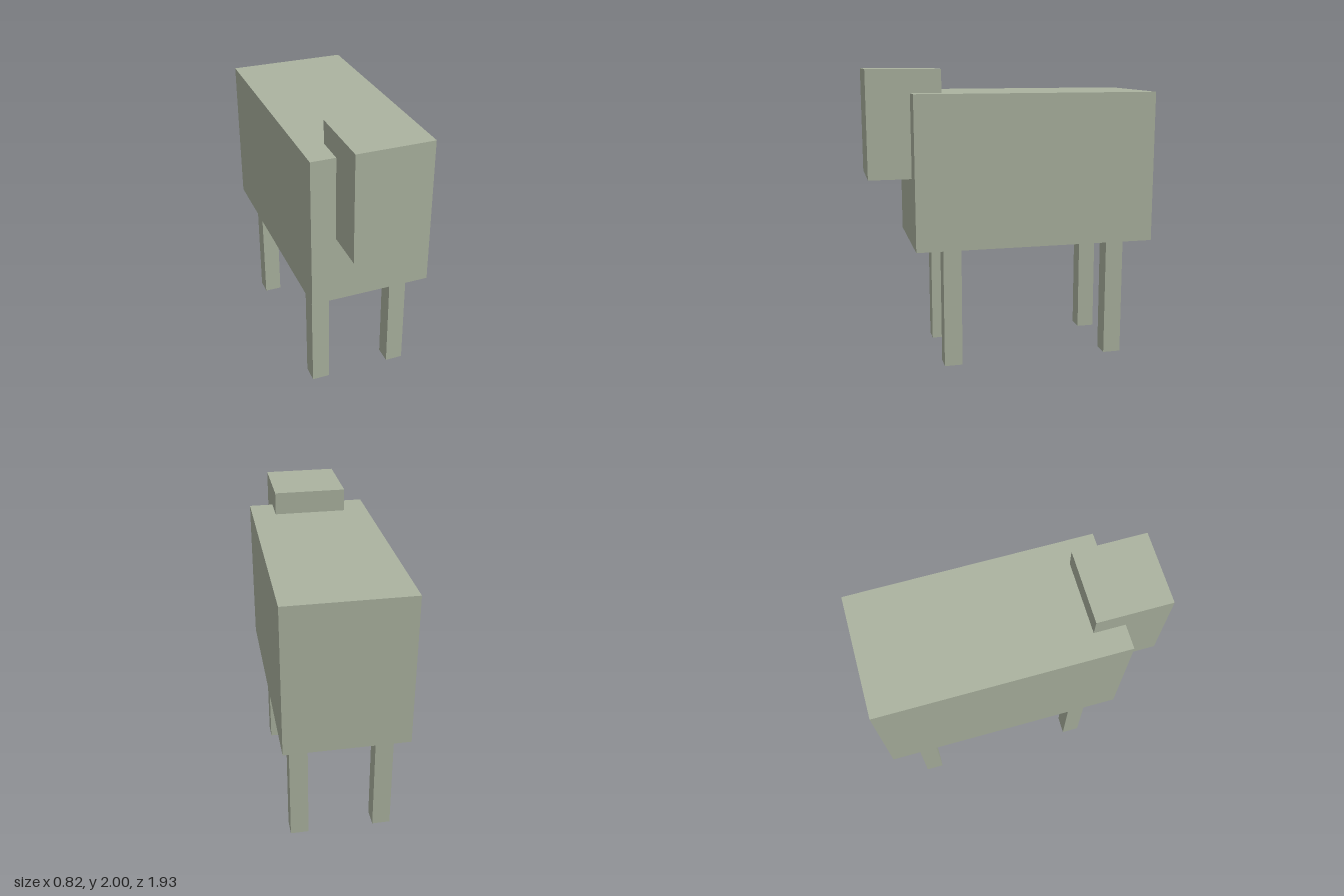
import * as THREE from 'three';

export function createModel() {
  const model = new THREE.Group();
  model.name = 'blockAnimal';

  const hide = new THREE.MeshStandardMaterial({ color: 0xabb3a0 });
  hide.name = 'paleGreyGreenHide';

  // Box given by its size, the centre of its base, and its name
  function block(name, w, h, d, x, y, z) {
    const mesh = new THREE.Mesh(new THREE.BoxGeometry(w, h, d), hide);
    mesh.name = name;
    mesh.position.set(x, y + h / 2, z);
    model.add(mesh);
  }

  // Long torso, with the head set into its upper front
  block('body', 0.82, 1.025, 1.64, 0, 0.821, -0.143);
  block('head', 0.492, 0.716, 0.492, 0, 1.284, 0.717);

  // Four square legs, mirrored left and right
  for (const [side, sx] of [['Left', 1], ['Right', -1]]) {
    block('front' + side + 'Leg', 0.123, 0.821, 0.123, sx * 0.287, 0, 0.429);
    block('back' + side + 'Leg', 0.123, 0.821, 0.123, sx * 0.287, 0, -0.717);
  }

  return model;
}
